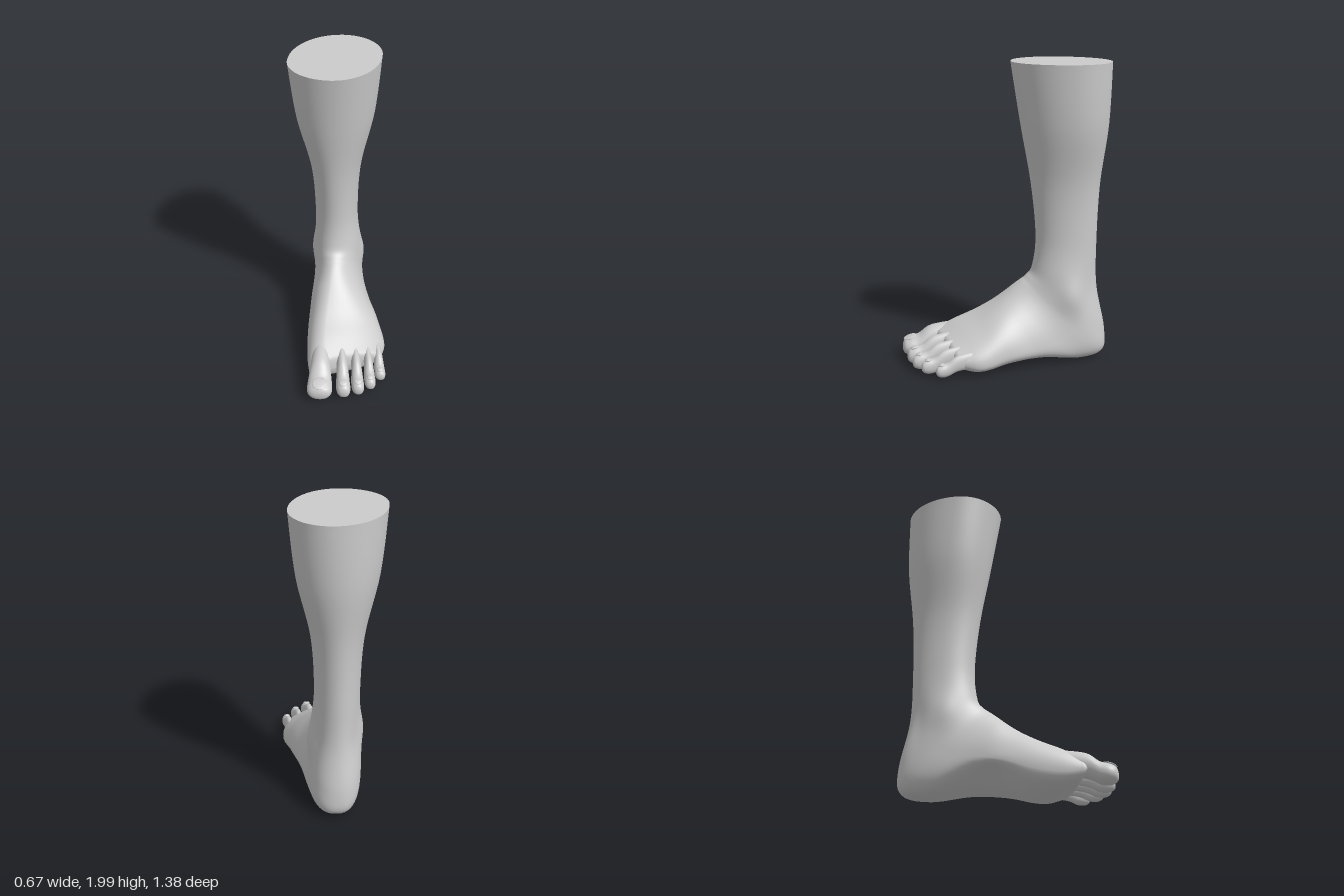
import * as THREE from 'three';

const SEG = 56;
const material = new THREE.MeshStandardMaterial({ color: 0xcccccc, roughness: 0.8 });
const spow = (v, e) => Math.sign(v) * Math.pow(Math.abs(v), e);
const smooth = THREE.MathUtils.smoothstep;
const gauss = (d, r) => Math.exp(-(d * d) / (r * r));

// Smoothly resample rows of section parameters
function resample(rows, steps) {
  const n = rows.length - 1, out = [];
  for (let k = 0; k <= n * steps; k++) {
    const i = Math.min(Math.floor(k / steps), n - 1), t = k / steps - i;
    const [a, b, c, d] = [i - 1, i, i + 1, i + 2].map(j => rows[Math.min(Math.max(j, 0), n)]);
    out.push(b.map((p, q) => {
      const m0 = (c[q] - a[q]) / 2, m1 = (d[q] - p) / 2, e = c[q] - p;
      return p + t * (m0 + t * (3 * e - 2 * m0 - m1 + t * (m0 + m1 - 2 * e)));
    }));
  }
  return out;
}

// One section: front/top point P, back/bottom point Q, side extremes xR and xL
// placed at fractions wR and wL of the way from P to Q; e squares off the Q side
function section([pz, py, qz, qy, xR, xL, xP, xQ, wR, wL, e]) {
  const pts = [];
  for (let j = 0; j < SEG; j++) {
    const a = (j / SEG) * Math.PI * 2, s = Math.sin(a), c = Math.cos(a);
    const ex = c < 0 ? e : 1, w = s > 0 ? wL : wR;
    const x0 = c > 0 ? xP : xQ, x1 = s > 0 ? xL : xR;
    const x = x0 + (x1 - x0) * Math.pow(Math.abs(s), ex);
    const v = c > 0 ? w * (1 - c) : w - (1 - w) * spow(c, ex);
    pts.push(new THREE.Vector3(x, py + (qy - py) * v, pz + (qz - pz) * v));
  }
  return pts;
}

function loft(name, rings) {
  const pos = [], idx = [];
  rings.forEach(r => r.forEach(p => pos.push(p.x, p.y, p.z)));
  for (let i = 0; i < rings.length - 1; i++) {
    for (let j = 0; j < SEG; j++) {
      const a = i * SEG + j, b = i * SEG + (j + 1) % SEG;
      idx.push(a, a + SEG, b, b, a + SEG, b + SEG);
    }
  }
  const geo = new THREE.BufferGeometry();
  geo.setAttribute('position', new THREE.Float32BufferAttribute(pos, 3));
  geo.setIndex(idx);
  geo.computeVertexNormals();
  const mesh = new THREE.Mesh(geo, material);
  mesh.name = name;
  return mesh;
}

// Sections fan round from level in the shin to upright in the forefoot
const LEG = [
  [-0.04, 2.0, -0.685, 2.0, -0.335, 0.26, -0.05, 0.0, 0.4, 0.58, 1],
  [-0.105, 1.6, -0.675, 1.6, -0.29, 0.22, -0.06, -0.02, 0.42, 0.56, 1],
  [-0.175, 1.2, -0.63, 1.2, -0.2, 0.135, -0.05, -0.03, 0.45, 0.52, 1],
  [-0.208, 0.85, -0.615, 0.8, -0.175, 0.115, -0.04, -0.03, 0.45, 0.5, 1],
  [-0.185, 0.64, -0.622, 0.5, -0.18, 0.135, -0.04, -0.03, 0.45, 0.5, 1],
  [-0.14, 0.575, -0.68, 0.2, -0.185, 0.145, -0.04, -0.03, 0.5, 0.52, 0.9],
  [-0.1, 0.545, -0.665, 0.045, -0.185, 0.155, -0.04, -0.02, 0.5, 0.55, 0.8],
  [-0.055, 0.51, -0.5, 0.008, -0.188, 0.175, -0.045, -0.01, 0.5, 0.6, 0.7],
  [0.005, 0.46, -0.26, 0.045, -0.195, 0.215, -0.05, 0.03, 0.52, 0.7, 0.7],
  [0.09, 0.395, -0.06, 0.045, -0.202, 0.27, -0.06, 0.04, 0.6, 0.72, 0.7],
  [0.2, 0.325, 0.14, 0.015, -0.205, 0.312, -0.07, 0.04, 0.6, 0.72, 0.7],
  [0.32, 0.265, 0.3, 0.008, -0.195, 0.325, -0.07, 0.04, 0.6, 0.68, 0.7],
  [0.42, 0.21, 0.41, 0.025, -0.178, 0.305, -0.05, 0.04, 0.55, 0.6, 0.8],
];

// Toe profile: length fraction, width, top and bottom as shares of width and height
const TOE = [
  [0, 0.7, 1.18, 0.4], [0.35, 0.78, 1.1, 0.36], [0.55, 0.84, 1.0, 0.28],
  [0.72, 0.96, 0.77, 0.13], [0.86, 1, 0.69, 0.1], [0.95, 0.82, 0.61, 0.16],
  [0.99, 0.45, 0.49, 0.25], [1, 0, 0.37, 0.37],
];
// Base x, base z, tip x, tip z, half width, height
const TOES = {
  bigToe: [-0.1, 0.3, -0.098, 0.69, 0.083, 0.215],
  secondToe: [0.03, 0.3, 0.062, 0.66, 0.047, 0.195],
  thirdToe: [0.12, 0.28, 0.158, 0.628, 0.042, 0.178],
  fourthToe: [0.2, 0.25, 0.238, 0.572, 0.037, 0.162],
  littleToe: [0.268, 0.2, 0.303, 0.48, 0.036, 0.145],
};

// Slanted toe line, raised inner arch and ankle bones
function sculpt(p) {
  p.z -= 0.35 * smooth(p.z, 0.0, 0.4) * p.x;
  const inner = 1 - smooth(p.x, -0.17, 0.1), low = 1 - smooth(p.y, 0.02, 0.25);
  p.y += 0.09 * inner * low * gauss(p.z + 0.08, 0.19);
  const outerBone = gauss(p.z + 0.43, 0.09) * gauss(p.y - 0.46, 0.11);
  const innerBone = gauss(p.z + 0.37, 0.09) * gauss(p.y - 0.52, 0.11);
  p.x += p.x > 0 ? 0.022 * outerBone : -0.018 * innerBone;
  const hollow = gauss(p.z + 0.54, 0.05) * gauss(p.y - 0.48, 0.15);
  p.x -= Math.sign(p.x + 0.03) * 0.012 * hollow;
  p.y = Math.max(p.y, 0);
  return p;
}

function makeToe(name, [xb, zb, xt, zt, w, h]) {
  const group = new THREE.Group();
  group.name = name;
  const rings = resample(TOE, 6).map(([t, k, top, bottom]) => {
    const x = xb + (xt - xb) * t, z = zb + (zt - zb) * t, r = Math.max(k, 0) * w;
    return section([z, top * h, z, bottom * h, x - r, x + r, x, x, 0.5, 0.5, 0.9]);
  });
  group.add(loft(name + 'Body', rings));
  // Nail lying on the sloping tip
  const nail = new THREE.Mesh(new THREE.SphereGeometry(1, 20, 12), material);
  nail.name = name + 'Nail';
  nail.scale.set(w * 0.58, 0.009, w * 0.55);
  nail.position.set(xb + (xt - xb) * 0.87, h * 0.672, zb + (zt - zb) * 0.87);
  nail.rotation.x = 0.3;
  group.add(nail);
  return group;
}

export function createModel() {
  const model = new THREE.Group();
  model.name = 'lowerLeg';

  // Shin, ankle, heel and forefoot in one skin, rounded off between the toes
  const rings = resample(LEG, 8).map(r => section(r).map(sculpt));
  const last = rings[rings.length - 1];
  const center = last.reduce((s, p) => s.add(p), new THREE.Vector3()).divideScalar(SEG);
  for (const a of [0.4, 0.8, 1.2, Math.PI / 2]) {
    rings.push(last.map(p => {
      const q = p.clone();
      q.y = center.y + (p.y - center.y) * Math.cos(a);
      q.x = center.x + (p.x - center.x) * (0.9 + 0.1 * Math.cos(a));
      q.z += 0.035 * Math.sin(a);
      return q;
    }));
  }
  model.add(loft('legAndFoot', rings));

  // Flat cut at the top of the leg
  const outline = rings[0].map(p => new THREE.Vector2(p.x, -p.z));
  const cut = new THREE.Mesh(new THREE.ShapeGeometry(new THREE.Shape(outline)), material);
  cut.name = 'topCut';
  cut.rotation.x = -Math.PI / 2;
  cut.position.y = 2;
  model.add(cut);

  for (const [name, spec] of Object.entries(TOES)) model.add(makeToe(name, spec));
  return model;
}
